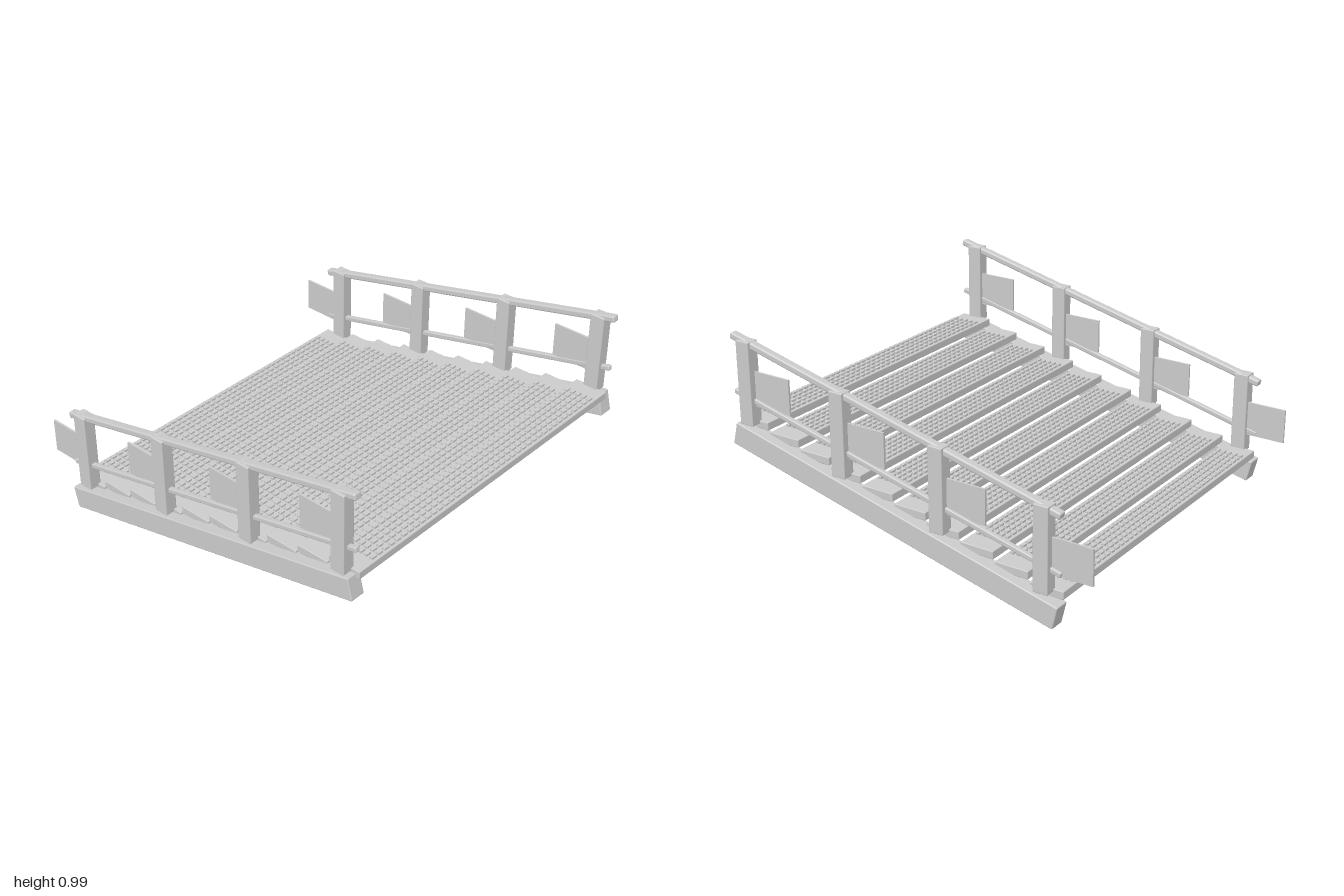
import * as THREE from 'three';
import { mergeGeometries } from 'three/addons/utils/BufferGeometryUtils.js';
import { RoundedBoxGeometry } from 'three/addons/geometries/RoundedBoxGeometry.js';

const SLOPE = 0.243;
const TILT = -Math.atan(SLOPE);
const material = new THREE.MeshStandardMaterial({ color: 0xcccccc });

function add(parent, name, geometry, x, y, z, tilt = 0) {
  const mesh = new THREE.Mesh(geometry, material);
  mesh.name = name;
  mesh.position.set(x, y, z);
  mesh.rotation.x = tilt;
  parent.add(mesh);
}

const bar = (w, h, d, r = 0.005) => new RoundedBoxGeometry(w, h, d, 2, r);

// Rows of short raised grip bars across one tread
function gripGeometry() {
  const parts = [];
  const count = 40, step = 1.64 / count;
  for (let row = 0; row < 5; row++) {
    for (let i = 0; i < count; i++) {
      const piece = new THREE.BoxGeometry(step * 0.7, 0.012, 0.018);
      piece.translate((i - (count - 1) / 2) * step, 0, (row - 2) * 0.032);
      parts.push(piece);
    }
  }
  return mergeGeometries(parts);
}

// Stringer, posts, rails and side panels of one side
function buildSide(side) {
  const group = new THREE.Group();
  group.name = side > 0 ? 'leftSide' : 'rightSide';
  add(group, 'stringer', bar(0.08, 0.115, 1.863, 0.006), side * 0.925, 0.285, 0.071, TILT);

  const x = side * 0.926;
  add(group, 'handrail', bar(0.042, 0.034, 1.885, 0.009), x, 0.767, 0.07, TILT);
  add(group, 'lowerRail', bar(0.026, 0.026, 1.885, 0.006), x, 0.488, 0.07, TILT);

  const post = bar(0.066, 0.42, 0.077);
  const panel = new THREE.BoxGeometry(0.01, 0.177, 0.209);
  for (let i = 0; i < 4; i++) {
    const z = 0.9 - i * 0.5517;
    const drop = i * 0.1325;
    add(group, 'post', post, side * 0.928, 0.77 - drop, z);
    add(group, 'sidePanel', panel, side * 0.921, 0.74 - drop, z - 0.1405);
  }
  return group;
}

export function createModel() {
  const model = new THREE.Group();
  model.name = 'stairSection';

  // Treads step down from front to back
  const treads = new THREE.Group();
  treads.name = 'treads';
  const board = bar(1.825, 0.04, 0.175, 0.004);
  const grip = gripGeometry();
  for (let i = 0; i < 10; i++) {
    const z = 0.898 - i * 0.184;
    const y = 0.556 - i * 0.0443;
    add(treads, 'tread', board, 0, y, z);
    add(treads, 'treadGrip', grip, 0, y + 0.024, z);
  }
  model.add(treads);

  for (const side of [-1, 1]) model.add(buildSide(side));
  return model;
}
